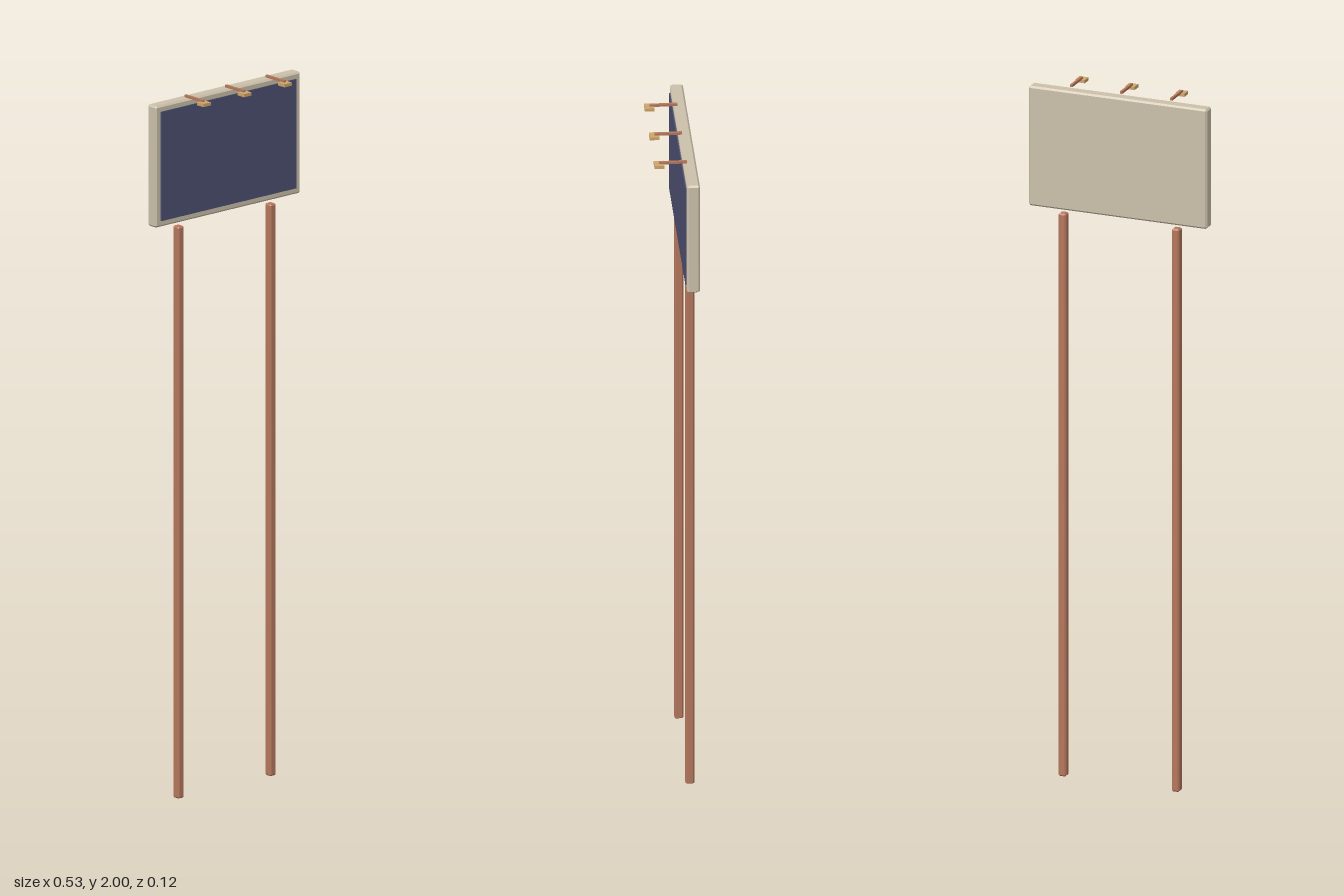
import * as THREE from 'three';
import { ConvexGeometry } from 'three/addons/geometries/ConvexGeometry.js';

const frameMat = new THREE.MeshStandardMaterial({ name: 'beige frame', color: 0xcbc0aa });
const postMat = new THREE.MeshStandardMaterial({ name: 'copper brown', color: 0xb5775c });
const panelMat = new THREE.MeshStandardMaterial({ name: 'slate blue', color: 0x4d5070 });
const lampMat = new THREE.MeshStandardMaterial({ name: 'lamp tan', color: 0xcda56b });

// Box with every edge chamfered by c
function chamferBox(w, h, d, c) {
  const pts = [];
  for (const sx of [-1, 1]) for (const sy of [-1, 1]) for (const sz of [-1, 1]) {
    const x = w / 2, y = h / 2, z = d / 2;
    pts.push(new THREE.Vector3(sx * x, sy * (y - c), sz * (z - c)));
    pts.push(new THREE.Vector3(sx * (x - c), sy * y, sz * (z - c)));
    pts.push(new THREE.Vector3(sx * (x - c), sy * (y - c), sz * z));
  }
  return new ConvexGeometry(pts);
}

export function createModel() {
  const model = new THREE.Group();
  model.name = 'billboard';

  function add(name, geometry, material, x, y, z) {
    const mesh = new THREE.Mesh(geometry, material);
    mesh.name = name;
    mesh.position.set(x, y, z);
    model.add(mesh);
  }

  // Board and its blank display face
  add('board', chamferBox(0.53, 0.346, 0.036, 0.005), frameMat, 0, 1.816, -0.041);
  add('displayPanel', new THREE.BoxGeometry(0.494, 0.311, 0.006), panelMat, 0, 1.816, -0.023);

  // Two tall posts, stopping just short of the board
  const postGeo = chamferBox(0.023, 1.629, 0.025, 0.004);
  for (const side of [-1, 1]) {
    add(side > 0 ? 'leftPost' : 'rightPost', postGeo, postMat, side * 0.168, 0.8145, -0.039);
  }

  // Three lamps on arms reaching forward over the top edge
  const armGeo = new THREE.BoxGeometry(0.007, 0.007, 0.076);
  const lampGeo = new THREE.BoxGeometry(0.027, 0.009, 0.027);
  for (const x of [-0.148, 0, 0.148]) {
    add('lampArm', armGeo, postMat, x, 1.9965, 0.005);
    add('lamp', lampGeo, lampMat, x, 1.99, 0.0435);
  }
  return model;
}
